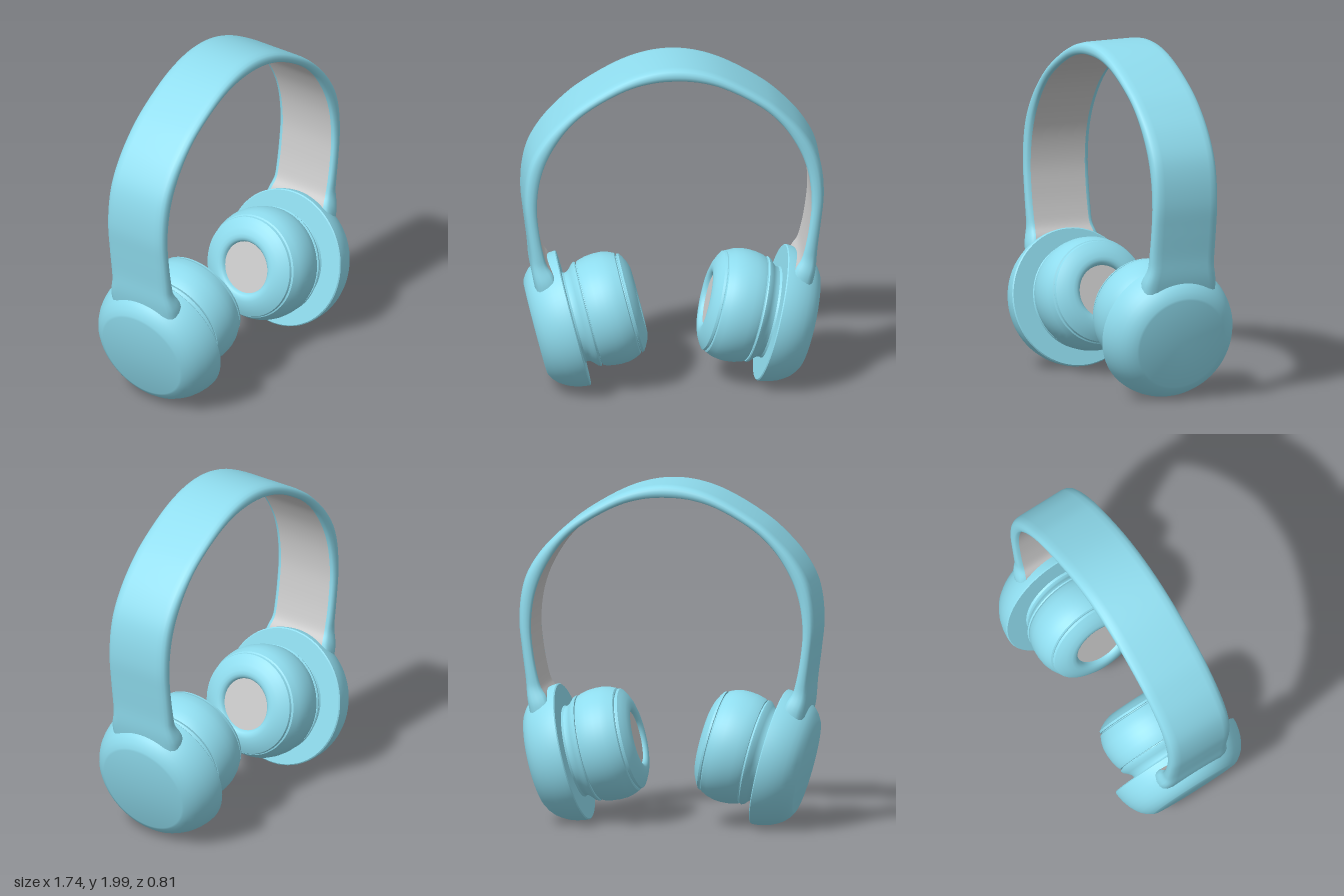
import * as THREE from 'three';
import { toCreasedNormals } from 'three/addons/utils/BufferGeometryUtils.js';

const blue = new THREE.MeshStandardMaterial({ color: 0x8fdcee });
const grey = new THREE.MeshStandardMaterial({ color: 0xcccccc });

// Headband half profile, from earcup to crown: outer x, y, inner x, y
const BAND = [
  [0.78, 0.55, 0.66, 0.6], [0.81, 0.68, 0.7, 0.74], [0.822, 0.75, 0.737, 0.8],
  [0.832, 0.86, 0.76, 0.88], [0.852, 1.02, 0.782, 1.0], [0.868, 1.18, 0.796, 1.15],
  [0.858, 1.34, 0.783, 1.3], [0.825, 1.46, 0.75, 1.42], [0.75, 1.585, 0.7, 1.525],
  [0.655, 1.69, 0.62, 1.642], [0.545, 1.785, 0.51, 1.745], [0.31, 1.925, 0.29, 1.87],
  [0.15, 1.982, 0.14, 1.914], [0, 2, 0, 1.925],
];

function bandCurve(k) {
  const half = BAND.map(p => new THREE.Vector3(p[k], p[k + 1], 0));
  const other = half.slice(0, -1).reverse().map(p => new THREE.Vector3(-p.x, p.y, 0));
  return new THREE.CatmullRomCurve3([...half, ...other]);
}

// Sweeps a section of [thickness 0..1, z] points along the band
function sweepBand(section) {
  const outer = bandCurve(0), inner = bandCurve(2);
  const rows = 120, n = section.length, pos = [], index = [];
  for (let i = 0; i <= rows; i++) {
    const a = inner.getPoint(i / rows), b = outer.getPoint(i / rows);
    for (const [u, z] of section) {
      const p = a.clone().lerp(b, u);
      const flare = 1 + 0.13 * (1 - THREE.MathUtils.smoothstep(p.y, 0.68, 0.82));
      pos.push(p.x, p.y, z * flare);
    }
  }
  for (let i = 0; i < rows; i++) {
    for (let j = 0; j < n - 1; j++) {
      const a = i * n + j, c = a + n;
      index.push(a, a + 1, c, a + 1, c + 1, c);
    }
  }
  const g = new THREE.BufferGeometry();
  g.setAttribute('position', new THREE.Float32BufferAttribute(pos, 3));
  g.setIndex(index);
  g.computeVertexNormals();
  return g;
}

function add(parent, name, geometry, material) {
  const m = new THREE.Mesh(geometry, material);
  m.name = name;
  parent.add(m);
  return m;
}

// Turned part from [radius, height] points, bottom to top
function turned(points) {
  const g = new THREE.LatheGeometry(points.map(p => new THREE.Vector2(...p)), 72);
  return toCreasedNormals(g, 0.5);
}

// One earcup along its own axis, +y pointing to the ear
function earcup() {
  const cup = new THREE.Group();
  add(cup, 'housing', turned([
    [0, -0.228], [0.272, -0.228], [0.285, -0.224], [0.315, -0.205], [0.342, -0.18], [0.362, -0.15],
    [0.38, -0.115], [0.393, -0.075], [0.401, -0.035], [0.403, -0.006], [0.397, 0], [0, 0],
  ]), blue);
  add(cup, 'neck', turned([
    [0.275, -0.01], [0.264, 0.012], [0.268, 0.03], [0.285, 0.05], [0.305, 0.068],
    [0.312, 0.082], [0.308, 0.089], [0.296, 0.09], [0.296, 0.1],
  ]), blue);
  add(cup, 'cushion', turned([
    [0.296, 0.095], [0.308, 0.096], [0.317, 0.115], [0.326, 0.155], [0.33, 0.2], [0.328, 0.245],
    [0.318, 0.285], [0.302, 0.32], [0.293, 0.325], [0.285, 0.325], [0.285, 0.332],
  ]), blue);
  add(cup, 'cushionRim', turned([
    [0.285, 0.33], [0.296, 0.332], [0.292, 0.345], [0.27, 0.36], [0.235, 0.378],
    [0.2, 0.389], [0.18, 0.39], [0.165, 0.385], [0.155, 0.375], [0.15, 0.36],
  ]), blue);
  const disc = add(cup, 'speakerDisc', new THREE.CircleGeometry(0.155, 48), grey);
  disc.rotation.x = -Math.PI / 2;
  disc.position.y = 0.365;
  return cup;
}

export function createModel() {
  const model = new THREE.Group();
  model.name = 'headphones';

  // Headband: rounded shell with a grey lining
  const side = [[0, 0.175], [0.04, 0.19], [0.15, 0.2], [0.4, 0.205], [0.65, 0.202],
    [0.82, 0.193], [0.94, 0.175], [1, 0.145]];
  const shell = [...side, [1, 0], ...side.map(([u, z]) => [u, -z]).reverse()];
  const band = new THREE.Group();
  band.name = 'headband';
  model.add(band);
  add(band, 'bandShell', sweepBand(shell), blue);
  add(band, 'bandLining', sweepBand([[0, -0.175], [0, 0], [0, 0.175]]), grey);

  // Tilted earcups
  for (const s of [1, -1]) {
    const cup = earcup();
    cup.name = s > 0 ? 'leftEarcup' : 'rightEarcup';
    cup.position.set(0.57 * s, 0.405, 0);
    cup.rotation.z = s * 1.323;
    model.add(cup);
  }
  return model;
}
